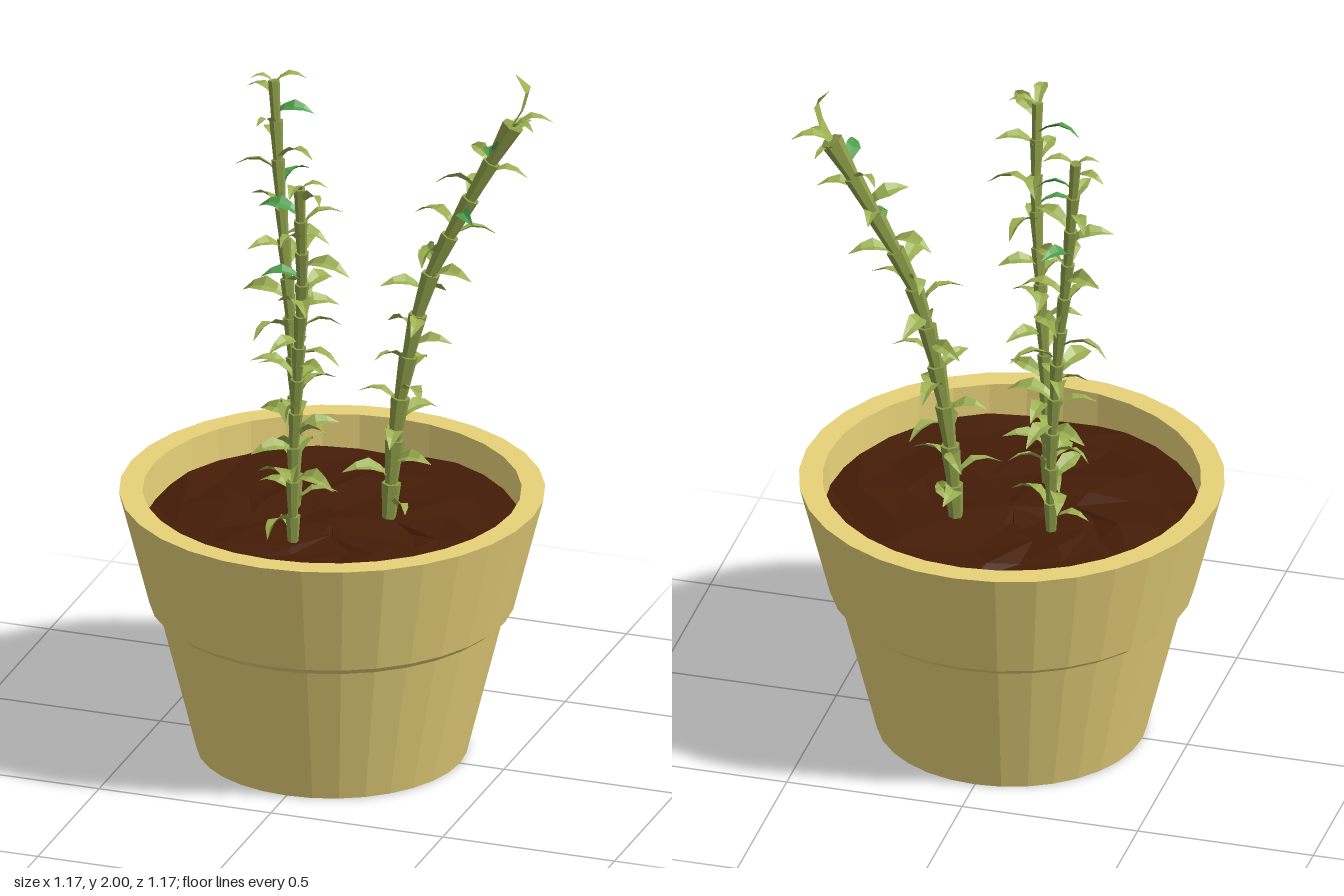
import * as THREE from 'three';
import { mergeGeometries } from 'three/addons/utils/BufferGeometryUtils.js';

const V = (x, y, z) => new THREE.Vector3(x, y, z);

function material(name, color, side = THREE.FrontSide) {
  const m = new THREE.MeshStandardMaterial({ color, flatShading: true, side });
  m.name = name;
  return m;
}

function seeded(seed) {
  return () => {
    seed = (seed * 16807) % 2147483647;
    return seed / 2147483647;
  };
}

function mesh(name, geometry, mat) {
  const m = new THREE.Mesh(geometry, mat);
  m.name = name;
  return m;
}

// Pointed leaf running along +x, folded along its midrib: [out, up, half width]
function leafGeometry(profile) {
  const pos = [], index = [];
  for (const [x, y, w] of profile) pos.push(x, y + w * 0.35, -w, x, y, 0, x, y + w * 0.35, w);
  for (let i = 0; i < profile.length - 1; i++) {
    for (let j = 0; j < 2; j++) {
      const a = i * 3 + j, b = a + 3;
      index.push(a, a + 1, b, b, a + 1, b + 1);
    }
  }
  const g = new THREE.BufferGeometry();
  g.setAttribute('position', new THREE.Float32BufferAttribute(pos, 3));
  g.setIndex(index);
  g.computeVertexNormals();
  return g;
}

const ARCHED = [[0, -0.012, 0.01], [0.028, 0.016, 0.016], [0.06, 0.03, 0.025], [0.095, 0.028, 0.015], [0.13, 0.012, 0.001]];
const UPRIGHT = [[0, 0, 0.014], [0.03, 0.05, 0.022], [0.044, 0.105, 0.025], [0.008, 0.155, 0.001]];

// Tapered stem pieces, each flaring toward the node above it
function stemGeometry(curve, radius, pieces, topFlare) {
  const parts = [];
  for (let i = 0; i < pieces; i++) {
    const a = curve.getPointAt(i / pieces), b = curve.getPointAt((i + 1) / pieces);
    const dir = b.clone().sub(a), len = dir.length();
    const top = i === pieces - 1 ? radius * topFlare : radius * (1.15 - 0.1 * i / pieces);
    const g = new THREE.CylinderGeometry(top, radius * 0.72, len * 1.03, 6);
    g.applyQuaternion(new THREE.Quaternion().setFromUnitVectors(V(0, 1, 0), dir.normalize()));
    g.translate(...a.add(b).multiplyScalar(0.5).toArray());
    parts.push(g);
  }
  return mergeGeometries(parts);
}

function createPlant({ name, points, radius, pieces, leaves, seed, topFlare = 0.9, crown }, mats) {
  const group = new THREE.Group();
  group.name = name;
  const rand = seeded(seed * 991);
  const curve = new THREE.CatmullRomCurve3(points.map(p => V(...p)));
  group.add(mesh('stem', stemGeometry(curve, radius, pieces, topFlare), mats.stem));

  const older = [], young = [];
  const place = (list, profile, p, yaw, size, roll = 0, pitch = 0) => {
    const g = leafGeometry(profile);
    g.scale(size, size, size);
    g.rotateX(roll);
    g.rotateZ(pitch);
    g.rotateY(yaw);
    g.translate(p.x, p.y, p.z);
    list.push(g);
  };
  // Leaves spiral up the stem, twisted a little and smaller near the tip
  for (let i = 0; i < leaves; i++) {
    const t = 0.05 + 0.92 * i / (leaves - 1);
    const size = (0.85 + rand() * 0.28) * (t > 0.85 ? 0.85 : 1);
    const list = i === leaves - 2 || i === leaves - 7 ? young : older;
    place(list, ARCHED, curve.getPointAt(t), i * 2.4 + seed + rand() * 0.5, size, (rand() - 0.5) * 1.1, (rand() - 0.5) * 0.4);
  }
  // Extra leaves at the tip
  const tip = curve.getPointAt(1);
  for (const [yaw, size, upright] of crown) place(older, upright ? UPRIGHT : ARCHED, tip, yaw, size);
  group.add(mesh('leaves', mergeGeometries(older), mats.leaf));
  group.add(mesh('youngLeaves', mergeGeometries(young), mats.young));
  return group;
}

// Gently lumpy soil disc
function soilGeometry(radius, y) {
  const g = new THREE.RingGeometry(0.001, radius, 16, 5);
  g.rotateX(-Math.PI / 2);
  const p = g.attributes.position;
  for (let i = 0; i < p.count; i++) {
    const x = p.getX(i), z = p.getZ(i);
    const inside = 1 - Math.hypot(x, z) / radius;
    p.setXYZ(i,
      x + Math.sin(23 * z + 31 * x) * 0.06 * inside,
      Math.sin(17 * x + 1) * Math.cos(19 * z) * 0.012,
      z + Math.sin(27 * x - 19 * z) * 0.06 * inside);
  }
  g.translate(0, y, 0);
  g.computeVertexNormals();
  return g;
}

export function createModel() {
  const model = new THREE.Group();
  model.name = 'pottedPlants';
  const clay = material('clay', 0xe8d27a);
  const soil = material('soil', 0x441c06);
  const mats = {
    stem: material('stemGreen', 0x8c9c48),
    leaf: material('leafGreen', 0x9cb052, THREE.DoubleSide),
    young: material('youngLeafGreen', 0x4fa04c, THREE.DoubleSide),
  };

  // Pot with a wide collar and hollow top
  const profile = [[0, 0], [0.372, 0], [0.475, 0.415], [0.502, 0.437], [0.585, 0.765], [0.52, 0.765], [0.517, 0.64]];
  const potGeo = new THREE.LatheGeometry(profile.map(p => new THREE.Vector2(...p)), 32);
  model.add(mesh('pot', potGeo, clay));
  model.add(mesh('soil', soilGeometry(0.53, 0.665), soil));

  const plants = [
    {
      name: 'leftPlant', seed: 3, radius: 0.018, pieces: 11, leaves: 27,
      points: [[-0.135, 0.64, -0.08], [-0.14, 0.9, -0.095], [-0.16, 1.2, -0.11], [-0.2, 1.55, -0.14], [-0.23, 1.88, -0.17]],
      crown: [[0.3, 0.7], [3.4, 0.5]],
    },
    {
      name: 'frontPlant', seed: 8, radius: 0.018, pieces: 11, leaves: 26,
      points: [[-0.055, 0.64, 0.165], [-0.05, 0.9, 0.175], [-0.03, 1.2, 0.195], [0, 1.5, 0.245], [0.01, 1.78, 0.295]],
      crown: [[0.2, 0.6], [-1.5, 0.8]],
    },
    {
      name: 'rightPlant', seed: 5, radius: 0.024, pieces: 10, leaves: 28, topFlare: 1.35,
      points: [[0.135, 0.64, -0.08], [0.155, 0.95, -0.095], [0.19, 1.17, -0.105], [0.24, 1.38, -0.12], [0.345, 1.61, -0.145], [0.465, 1.845, -0.17]],
      crown: [[0.35, 0.85], [-0.5, 0.65], [0.05, 1, true]],
    },
  ];
  for (const plant of plants) model.add(createPlant(plant, mats));
  return model;
}
